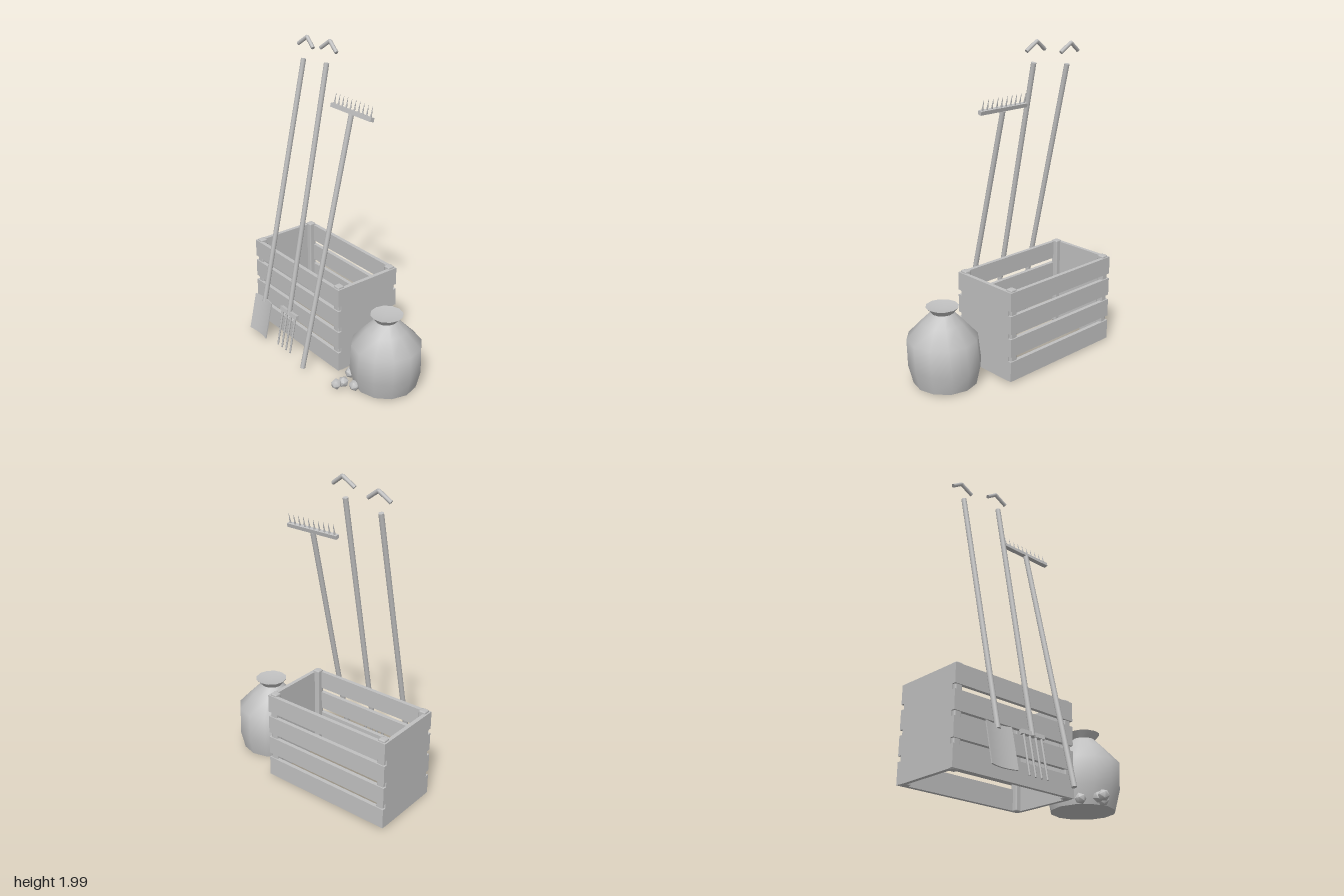
import * as THREE from 'three';
import { toCreasedNormals } from 'three/addons/utils/BufferGeometryUtils.js';
import { RoundedBoxGeometry } from 'three/addons/geometries/RoundedBoxGeometry.js';

const grey = new THREE.MeshStandardMaterial({ color: 0xc0c0c0 });
grey.name = 'plain grey';

function add(parent, name, geometry, x = 0, y = 0, z = 0) {
  const mesh = new THREE.Mesh(geometry, grey);
  mesh.name = name;
  mesh.position.set(x, y, z);
  parent.add(mesh);
  return mesh;
}

function group(parent, name) {
  const g = new THREE.Group();
  g.name = name;
  parent.add(g);
  return g;
}

// Slatted crate without a floor
function buildCrate(root) {
  const crate = group(root, 'crate');
  const cx = -0.239, cz = -0.088;
  for (const s of [-1, 1]) {
    for (let i = 0; i < 4; i++) {
      const bottom = i === 0 ? 0.018 : 0.03 + i * 0.148;
      const top = 0.146 + i * 0.148;
      add(crate, s > 0 ? 'frontSlat' : 'backSlat', new THREE.BoxGeometry(0.882, top - bottom, 0.025),
        cx, (top + bottom) / 2, cz + s * 0.221);
    }
    add(crate, 'sidePanel', new THREE.BoxGeometry(0.025, 0.574, 0.418), cx + s * 0.4285, 0.303, cz);
    for (const t of [-1, 1]) {
      add(crate, 'cornerPost', new RoundedBoxGeometry(0.048, 0.59, 0.048, 1, 0.009),
        cx + s * 0.407, 0.308, cz + t * 0.202);
    }
  }
}

// Leaning tool: local y runs along the handle, origin at its lower end
function buildTool(root, name, x, low, high) {
  const tool = group(root, name);
  const dy = high[0] - low[0], dz = high[1] - low[1];
  const length = Math.hypot(dy, dz);
  tool.position.set(x, low[0], low[1]);
  tool.rotation.x = Math.atan2(dz, dy);
  add(tool, 'handle', new THREE.CylinderGeometry(0.016, 0.016, length, 10), 0, length / 2, 0);
  return { tool, length };
}

// Chevron grip floating above the handle
function addGrip(tool, y) {
  for (const s of [-1, 1]) {
    const arm = add(tool, 'gripArm', new THREE.CylinderGeometry(0.012, 0.012, 0.094, 8),
      s * 0.037, y - 0.027, 0);
    arm.rotation.z = s * 0.94;
  }
}

function buildShovel(root) {
  const { tool } = buildTool(root, 'shovel', -0.46, [0.25, 0.237], [1.83, -0.112]);
  addGrip(tool, 1.75);
  // Blade with slightly raised side edges
  const blade = new THREE.BoxGeometry(0.18, 0.25, 0.008, 6, 1, 1);
  const p = blade.attributes.position;
  for (let i = 0; i < p.count; i++) p.setZ(i, p.getZ(i) + 1.5 * p.getX(i) ** 2);
  blade.computeVertexNormals();
  add(tool, 'blade', blade, 0, -0.102, 0);
}

function buildFork(root) {
  const { tool } = buildTool(root, 'fork', -0.2, [0.27, 0.227], [1.86, -0.087]);
  addGrip(tool, 1.75);
  add(tool, 'forkBar', new THREE.BoxGeometry(0.17, 0.027, 0.022), 0, 0.01, 0);
  for (let i = 0; i < 4; i++) {
    add(tool, 'forkTine', new THREE.CylinderGeometry(0.008, 0.006, 0.245, 6), -0.066 + i * 0.044, -0.122, 0);
  }
}

function buildRake(root) {
  const { tool, length } = buildTool(root, 'rake', 0.04, [0.022, 0.302], [1.61, -0.08]);
  add(tool, 'rakeBar', new THREE.BoxGeometry(0.366, 0.024, 0.026), 0, length + 0.01, 0);
  for (let i = 0; i < 10; i++) {
    add(tool, 'rakeTooth', new THREE.CylinderGeometry(0.001, 0.006, 0.066, 6),
      -0.165 + i * 0.0367, length + 0.052, 0);
  }
}

// Stuffed sack lofted from slightly shifted rings: [y, radius, centre x, centre z]
function buildSack(root) {
  const rings = [
    [0.014, 0, 0.455, -0.02], [0.014, 0.195, 0.455, -0.02], [0.13, 0.222, 0.457, -0.018],
    [0.3, 0.215, 0.468, -0.012], [0.395, 0.126, 0.465, -0.01], [0.455, 0.068, 0.462, -0.01],
    [0.494, 0.1, 0.465, -0.012], [0.478, 0, 0.465, -0.012],
  ];
  const sides = 12, position = [], index = [];
  rings.forEach(([y, r, cx, cz], j) => {
    for (let i = 0; i < sides; i++) {
      const a = (i / sides) * Math.PI * 2;
      position.push(cx + r * Math.sin(a), y, cz + r * Math.cos(a));
      if (j === rings.length - 1) continue;
      const n = (i + 1) % sides, b = j * sides, t = b + sides;
      if (j > 0) index.push(b + i, b + n, t + n);
      if (j < rings.length - 2) index.push(b + i, t + n, t + i);
    }
  });
  const geometry = new THREE.BufferGeometry();
  geometry.setAttribute('position', new THREE.Float32BufferAttribute(position, 3));
  geometry.setIndex(index);
  add(root, 'sack', toCreasedNormals(geometry, 1.1));
}

// Loose potatoes beside the sack
function buildPotatoes(root) {
  const potatoes = group(root, 'potatoes');
  [[0.286, 0.118], [0.335, 0.212], [0.326, 0.26], [0.406, 0.185]].forEach(([x, z], i) => {
    const potato = add(potatoes, 'potato', toCreasedNormals(new THREE.IcosahedronGeometry(0.035, 0), 1.1), x, 0.04, z);
    potato.rotation.set(i * 0.7, i * 1.3, 0);
  });
}

export function createModel() {
  const root = new THREE.Group();
  root.name = 'gardenSet';
  buildCrate(root);
  buildShovel(root);
  buildFork(root);
  buildRake(root);
  buildSack(root);
  buildPotatoes(root);
  return root;
}
